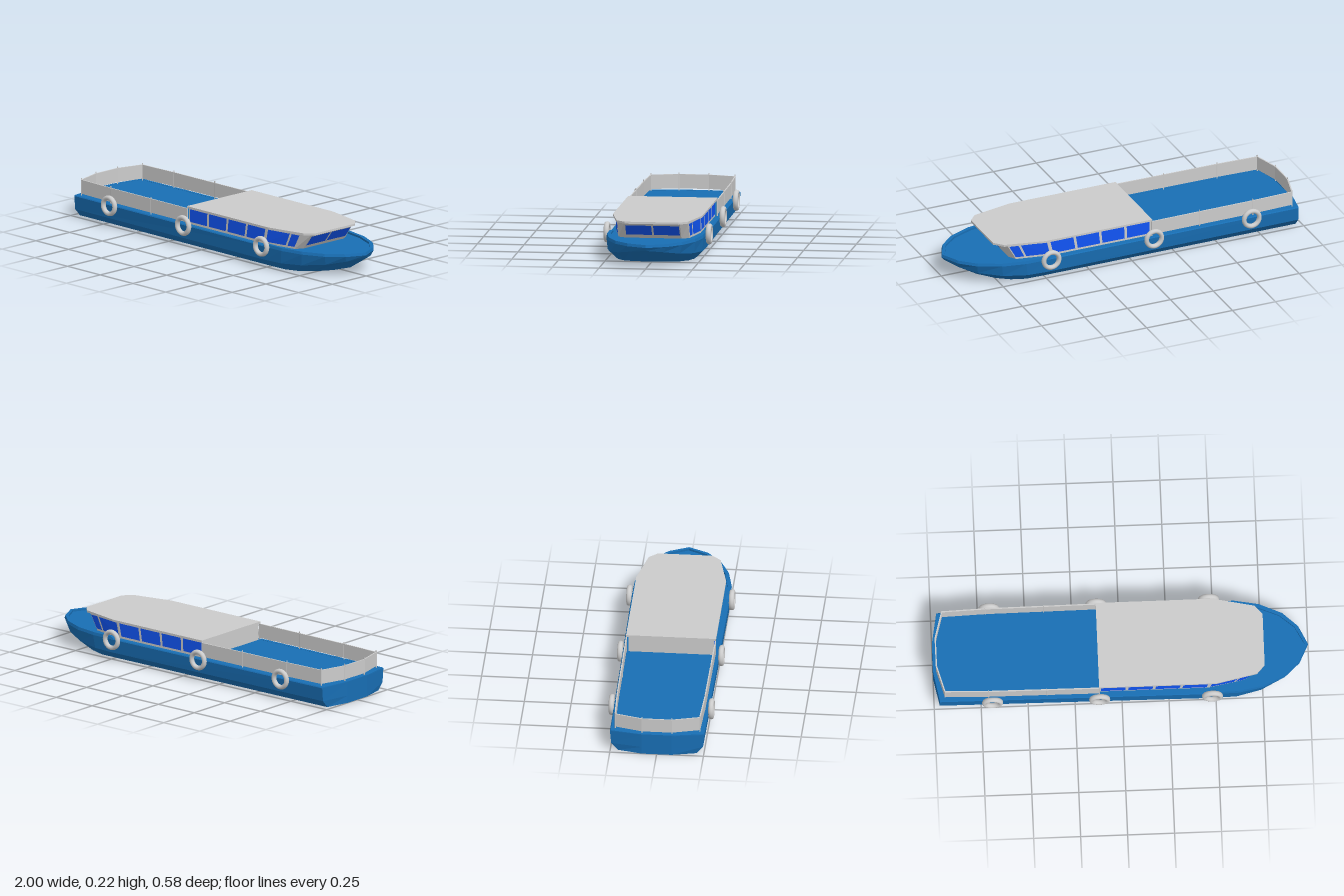
import * as THREE from 'three';

const grey = new THREE.MeshStandardMaterial({ color: 0xcccccc, flatShading: true, side: THREE.DoubleSide });
const smoothGrey = new THREE.MeshStandardMaterial({ color: 0xcccccc });
const hullBlue = new THREE.MeshStandardMaterial({ color: 0x186eb4, flatShading: true });
const glassBlue = new THREE.MeshStandardMaterial({ color: 0x1155f5, flatShading: true, side: THREE.DoubleSide });

function add(parent, name, geometry, material) {
  const mesh = new THREE.Mesh(geometry, material);
  mesh.name = name;
  parent.add(mesh);
  return mesh;
}

// Turns a list of quads (four Vector3 corners each) into flat faces, skipping empty triangles
function quadsGeometry(quads) {
  const pos = [];
  const tri = new THREE.Triangle();
  for (const [a, b, c, d] of quads) {
    for (const t of [[a, b, c], [a, c, d]]) {
      if (tri.set(...t).getArea() < 1e-9) continue;
      for (const p of t) pos.push(p.x, p.y, p.z);
    }
  }
  const g = new THREE.BufferGeometry();
  g.setAttribute('position', new THREE.Float32BufferAttribute(pos, 3));
  g.computeVertexNormals();
  return g;
}

const V = (p) => new THREE.Vector3(...p);
const flip = (p) => new THREE.Vector3(p.x, p.y, -p.z);

// Lofts half outlines (stern to bow, +z side), mirrored in z and capped at both ends
function loftHalves(halves) {
  const rings = halves.map((h) => h.map(V));
  const loops = rings.map((r) => [...r, ...r.map(flip).reverse()]);
  const quads = [];
  for (let k = 0; k + 1 < loops.length; k++) {
    const a = loops[k], b = loops[k + 1];
    a.forEach((p, i) => {
      const j = (i + 1) % a.length;
      quads.push([p, a[j], b[j], b[i]]);
    });
  }
  const low = rings[0], top = rings[rings.length - 1];
  for (let i = 0; i + 1 < low.length; i++) {
    quads.push([flip(low[i]), flip(low[i + 1]), low[i + 1], low[i]]);
    quads.push([top[i], top[i + 1], flip(top[i + 1]), flip(top[i])]);
  }
  return quadsGeometry(quads);
}

// Half outlines as [x, y, z]
const bottom = [[-1, 0, 0], [-1, 0, 0.08], [-0.97, 0, 0.21], [0.48, 0, 0.215], [0.5, 0, 0.215], [0.6, 0, 0.213],
  [0.68, 0.002, 0.19], [0.75, 0.006, 0.15], [0.83, 0.015, 0.08], [0.88, 0.025, 0]];
const chine = [[-1, 0.04, 0], [-1, 0.04, 0.08], [-0.97, 0.04, 0.245], [0.48, 0.04, 0.257], [0.5, 0.04, 0.257],
  [0.61, 0.042, 0.254], [0.74, 0.05, 0.225], [0.86, 0.065, 0.165], [0.94, 0.083, 0.09], [0.985, 0.095, 0]];
const sheer = [[-1, 0.113, 0], [-1, 0.113, 0.08], [-0.97, 0.113, 0.252], [0.48, 0.113, 0.262], [0.5, 0.113, 0.262],
  [0.62, 0.113, 0.26], [0.75, 0.113, 0.235], [0.87, 0.113, 0.18], [0.95, 0.113, 0.105], [1, 0.113, 0]];
// The bulwark is raised only around the bow
const rimOuter = sheer.map(([x, , z], i) => [x - (i > 4 ? 0.004 : 0), i > 3 ? 0.128 : 0.118, z * 0.985]);
const rimInner = rimOuter.map(([x, y, z], i) => [x + (i < 3 ? 0.015 : i > 4 ? -0.016 : 0), y, z * 0.93]);
const deckEdge = rimInner.map(([x, , z]) => [x, 0.117, z]);

const cabinLow = [[-0.12, 0.117, 0], [-0.12, 0.117, 0.226], [0.46, 0.117, 0.226], [0.65, 0.117, 0.19],
  [0.675, 0.117, 0.15], [0.675, 0.117, 0]];
const cabinTop = [[-0.12, 0.206, 0], [-0.12, 0.206, 0.226], [0.48, 0.206, 0.226], [0.7, 0.206, 0.19],
  [0.742, 0.206, 0.15], [0.742, 0.206, 0]];
const roofLow = [[-0.122, 0.205, 0], [-0.122, 0.205, 0.24], [0.5, 0.205, 0.24], [0.72, 0.205, 0.192],
  [0.763, 0.205, 0.145], [0.763, 0.205, 0]];
const roofTop = roofLow.map(([x, , z]) => [x, 0.216, z]);

// Window on cabin wall i, spanning u along and v up the wall, just proud of it
function windowPane(i, u0, u1, v0, v1) {
  const at = (u, v) => V(cabinLow[i]).lerp(V(cabinLow[i + 1]), u)
    .lerp(V(cabinTop[i]).lerp(V(cabinTop[i + 1]), u), v);
  const corners = [at(u0, v0), at(u1, v0), at(u1, v1), at(u0, v1)];
  const normal = corners[1].clone().sub(corners[0]).cross(corners[3].clone().sub(corners[0])).normalize();
  corners.forEach((c) => c.addScaledVector(normal, 0.002));
  return quadsGeometry([corners]);
}

// Thin upright strip between two plan points [x, z]
function strip(parent, name, [x0, z0], [x1, z1], y0, y1, thick) {
  const len = Math.hypot(x1 - x0, z1 - z0);
  const m = add(parent, name, new THREE.BoxGeometry(len, y1 - y0, thick), grey);
  m.position.set((x0 + x1) / 2, (y0 + y1) / 2, (z0 + z1) / 2);
  m.rotation.y = -Math.atan2(z1 - z0, x1 - x0);
}

// Everything that repeats on both sides
function buildSide() {
  const side = new THREE.Group();

  // Side, corner and front windows
  for (let k = 0; k < 4; k++) {
    const u = 0.015 + k * 0.247;
    add(side, 'sideWindow', windowPane(1, u, u + 0.222, 0.14, 0.92), glassBlue);
  }
  add(side, 'cornerWindow', windowPane(2, 0.03, 0.68, 0.14, 0.92), glassBlue);
  add(side, 'cornerWindow', windowPane(2, 0.74, 0.97, 0.14, 0.92), glassBlue);
  add(side, 'frontWindow', windowPane(4, 0.04, 0.965, 0.23, 0.85), glassBlue);

  // Stern railing with panels, handrail and posts
  const path = [[-0.982, 0], [-0.982, 0.08], [-0.942, 0.226], [-0.71, 0.234], [-0.4, 0.236], [-0.12, 0.238]];
  for (let i = 0; i + 1 < path.length; i++) {
    strip(side, 'railPanel', path[i], path[i + 1], 0.127, 0.2, 0.004);
    strip(side, 'handrail', path[i], path[i + 1], 0.199, 0.204, 0.007);
    const post = add(side, 'railPost', new THREE.CylinderGeometry(0.003, 0.003, 0.096, 6), grey);
    post.position.set(path[i + 1][0], 0.165, path[i + 1][1]);
  }

  // Tyre fenders hung over the hull side
  for (const [x, z] of [[-0.69, 0.266], [-0.12, 0.27], [0.48, 0.274]]) {
    const tyre = add(side, 'tyreFender', new THREE.TorusGeometry(0.044, 0.0125, 12, 32), smoothGrey);
    tyre.position.set(x, 0.115, z);
    tyre.scale.z = 1.15;
  }
  return side;
}

export function createModel() {
  const boat = new THREE.Group();
  boat.name = 'riverBoat';
  add(boat, 'hull', loftHalves([bottom, chine, sheer, rimOuter, rimInner, deckEdge]), hullBlue);
  add(boat, 'cabin', loftHalves([cabinLow, cabinTop]), grey);
  add(boat, 'roof', loftHalves([roofLow, roofTop]), grey);

  const left = buildSide();
  left.name = 'nearSideFittings';
  const right = buildSide();
  right.name = 'farSideFittings';
  right.scale.z = -1;
  boat.add(left, right);
  return boat;
}
